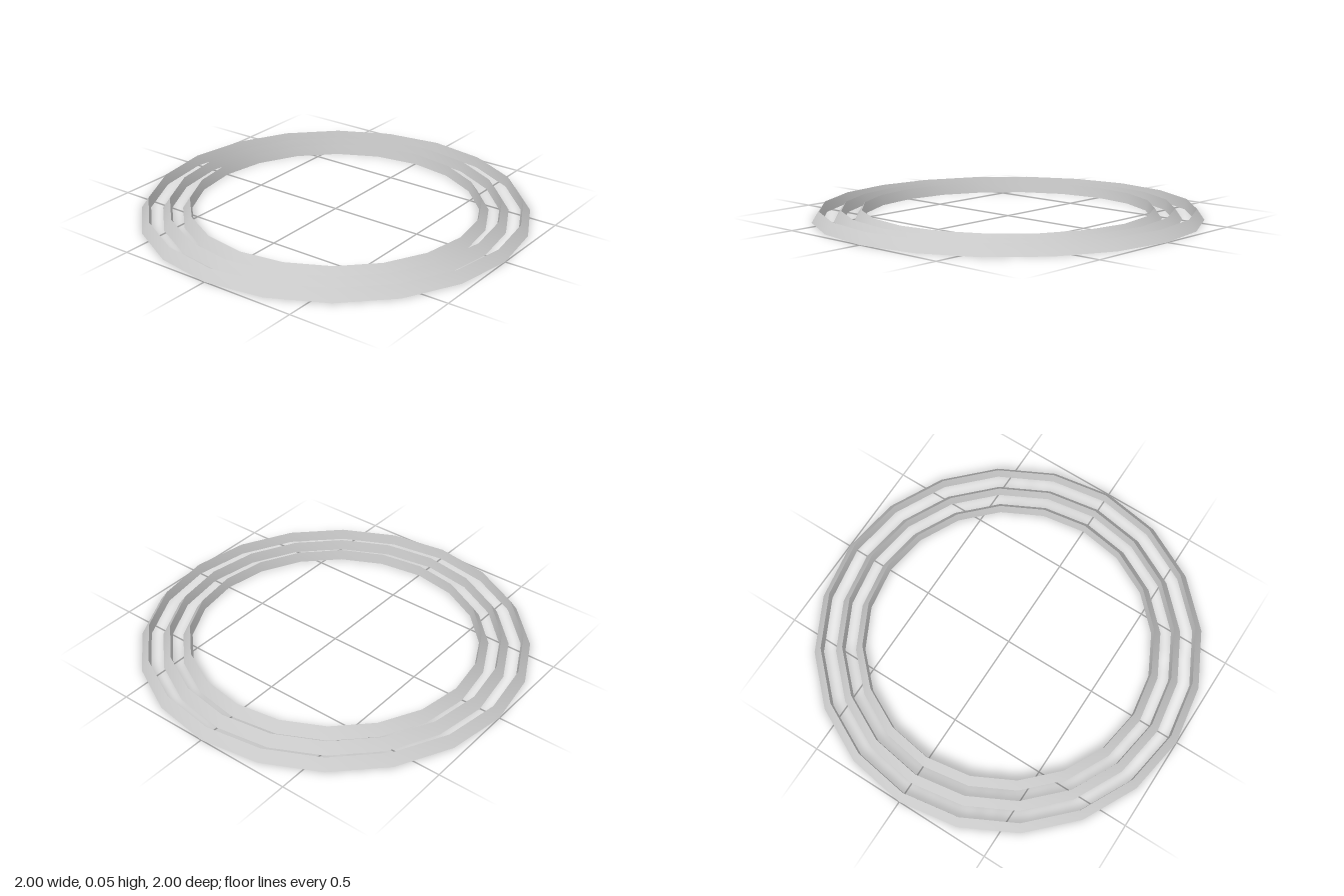
import * as THREE from 'three';
import { toCreasedNormals } from 'three/addons/utils/BufferGeometryUtils.js';

const SIDES = 20;
const HEIGHT = 0.055;
const WIDTH = 0.048;
const RIDGE = 0.038; // how far the top ridge sits in from the outer rim

// Wedge-section ring: sloping outer face, steep inner wall, flat base
function makeRing(name, radius, material) {
  const profile = [
    [radius, 0],
    [radius - RIDGE, HEIGHT],
    [radius - WIDTH, 0],
    [radius, 0],
  ].map(([x, y]) => new THREE.Vector2(x, y));
  const geometry = toCreasedNormals(new THREE.LatheGeometry(profile, SIDES), 0.6);
  const ring = new THREE.Mesh(geometry, material);
  ring.name = name;
  return ring;
}

export function createModel() {
  const group = new THREE.Group();
  group.name = 'concentricRings';
  const material = new THREE.MeshStandardMaterial({ color: 0xcccccc });

  // Three concentric rings of equal section
  const rings = { outerRing: 1, middleRing: 0.89, innerRing: 0.787 };
  for (const [name, radius] of Object.entries(rings)) {
    group.add(makeRing(name, radius, material));
  }
  return group;
}
